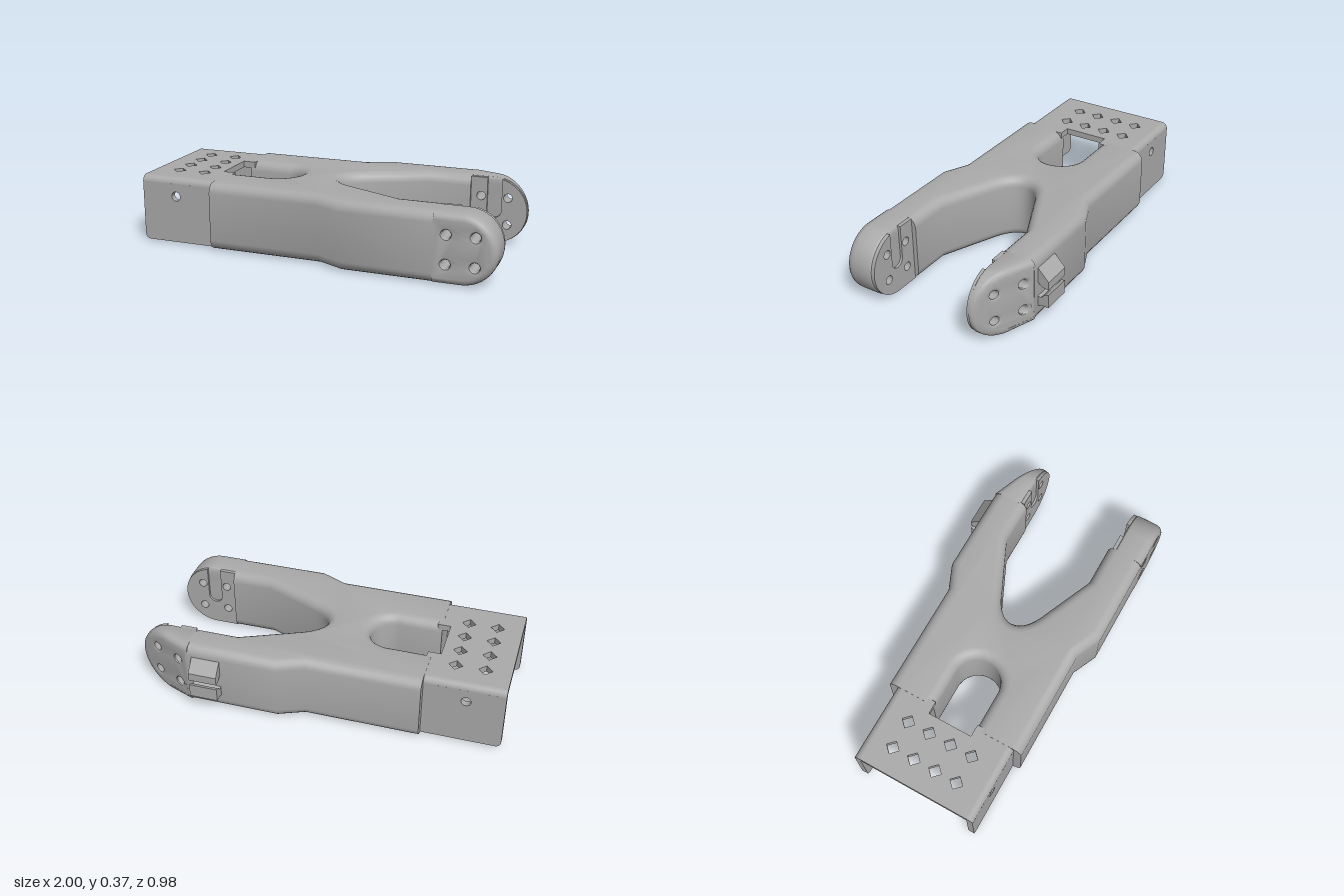
import * as THREE from 'three';
import { toCreasedNormals } from 'three/addons/utils/BufferGeometryUtils.js';

const H = 0.37, R = H / 2, END_X = 0.81;
const HOLES = [-1, 1].flatMap(i => [-1, 1].map(j => [END_X + i * 0.074, R + j * 0.076]));

const circle = (x, y, r) => new THREE.Path().absarc(x, y, r, 0, Math.PI * 2, false);
const polygon = pts => new THREE.Shape(pts.map(p => new THREE.Vector2(...p)));

// Apply a rule to every vertex
function reshape(geo, rule) {
  const p = geo.attributes.position, v = new THREE.Vector3();
  for (let i = 0; i < p.count; i++) {
    v.fromBufferAttribute(p, i);
    rule(v);
    p.setXYZ(i, v.x, v.y, v.z);
  }
  return geo;
}

// H-shaped frame: plan outline with rounded edges, cut flat at both ends
function frameGeometry() {
  const s = new THREE.Shape();
  s.moveTo(-0.66, -0.37);
  [[0.04, -0.37], [0.18, -0.43], [0.76, -0.43], [0.76, -0.235], [0.45, -0.235], [0.14, -0.095]]
    .forEach(p => s.lineTo(...p));
  s.bezierCurveTo(0.0, -0.03, 0.0, 0.08, 0.14, 0.145);
  [[0.45, 0.28], [0.76, 0.28], [0.76, 0.485], [0.18, 0.485], [0.04, 0.42], [-0.66, 0.42], [-0.66, 0.15], [-0.34, 0.15]]
    .forEach(p => s.lineTo(...p));
  s.absarc(-0.34, 0.025, 0.125, Math.PI / 2, -Math.PI / 2, true);
  s.lineTo(-0.66, -0.1);
  const b = 0.055;
  const g = new THREE.ExtrudeGeometry(s, {
    depth: H - 2 * b, bevelThickness: b, bevelSize: b, bevelOffset: -b, bevelSegments: 5, curveSegments: 14
  });
  g.rotateX(Math.PI / 2).translate(0, H - b, 0);
  return reshape(g, v => { v.x = THREE.MathUtils.clamp(v.x, -0.575, 0.68); });
}

// Round arm end with four countersunk holes; outer(x) gives the outside face
function armEndGeometry(inner, outer, back) {
  const s = new THREE.Shape();
  s.moveTo(0.6, 0);
  s.lineTo(END_X, 0);
  s.absarc(END_X, R, R, -Math.PI / 2, Math.PI / 2, false);
  s.lineTo(0.6, H);
  HOLES.forEach(([x, y]) => s.holes.push(circle(x, y, 0.004)));
  const g = new THREE.ExtrudeGeometry(s, {
    depth: 0.4, bevelThickness: 0.3, bevelSize: 0.035, bevelOffset: -0.035, bevelSegments: 5, curveSegments: 16
  });
  return reshape(g, v => {
    for (const [x, y] of HOLES) {
      const d = Math.hypot(v.x - x, v.y - y);
      if (d < 0.0415) {
        const k = Math.max(d, 0.024) / d;
        v.x = x + (v.x - x) * k;
        v.y = y + (v.y - y) * k;
        break;
      }
    }
    v.x = Math.max(v.x, 0.67);
    let t = v.z + 0.3;
    if (back) t = 1 - t;
    if (t < 0.31) t *= 0.3;
    v.z = THREE.MathUtils.lerp(inner, outer(v.x), t);
  });
}

// Thin inner facing with a slot open at the top
function facingGeometry(z) {
  const s = new THREE.Shape(), r = 0.181, a = Math.acos(0.04 / r);
  s.moveTo(0.68, R - r);
  s.lineTo(END_X, R - r);
  s.absarc(END_X, R, r, -Math.PI / 2, a, false);
  s.lineTo(END_X + 0.04, R);
  s.absarc(END_X, R, 0.04, 0, -Math.PI, true);
  s.lineTo(END_X - 0.04, R + r);
  s.lineTo(0.68, R + r);
  HOLES.forEach(([x, y]) => s.holes.push(circle(x, y, 0.024)));
  return new THREE.ExtrudeGeometry(s, { depth: 0.02, bevelEnabled: false, curveSegments: 16 }).translate(0, 0, z);
}

// Bracket side wall with a rounded lower corner and a bolt hole
function wallGeometry(z) {
  const s = new THREE.Shape();
  s.moveTo(-0.97, 0.006);
  s.lineTo(-0.55, 0.006);
  s.lineTo(-0.55, 0.335);
  s.lineTo(-1, 0.335);
  s.lineTo(-1, 0.036);
  s.absarc(-0.97, 0.036, 0.03, Math.PI, Math.PI * 1.5, false);
  s.holes.push(circle(-0.8, 0.265, 0.026));
  return new THREE.ExtrudeGeometry(s, { depth: 0.035, bevelEnabled: false }).translate(0, 0, z);
}

// Bracket top plate with a grid of diamond holes
function plateGeometry() {
  const s = polygon([[-1, -0.285], [-0.55, -0.285], [-0.55, -0.1], [-0.62, -0.1], [-0.62, 0.15],
    [-0.55, 0.15], [-0.55, 0.34], [-1, 0.34]]);
  for (const x of [-0.865, -0.71])
    for (const z of [-0.17, -0.045, 0.08, 0.205]) {
      const d = 0.037;
      s.holes.push(polygon([[x - d, z], [x, z - d], [x + d, z], [x, z + d]]));
    }
  return new THREE.ExtrudeGeometry(s, { depth: 0.035, bevelEnabled: false })
    .rotateX(Math.PI / 2).translate(0, 0.368, 0);
}

// Section drawn as (-z, y), run along x
function alongX(shape, x0, x1) {
  return new THREE.ExtrudeGeometry(shape, { depth: x1 - x0, bevelEnabled: false, curveSegments: 6 })
    .rotateY(Math.PI / 2).translate(x0, 0, 0);
}

// Quarter-round edge joining plate and wall
function edgeGeometry(u, start) {
  const s = new THREE.Shape();
  s.moveTo(u, 0.333);
  s.absarc(u, 0.333, 0.035, start, start + Math.PI / 2, false);
  s.lineTo(u, 0.333);
  return alongX(s, -1, -0.55);
}

export function createModel() {
  const model = new THREE.Group();
  model.name = 'forkedArm';
  const grey = new THREE.MeshStandardMaterial({ color: 0xaaaaaa });
  grey.name = 'grey plastic';
  const add = (name, geo) => {
    const mesh = new THREE.Mesh(toCreasedNormals(geo, 0.6), grey);
    mesh.name = name;
    model.add(mesh);
  };

  add('frame', frameGeometry());

  // Fork ends
  add('frontArmEnd', armEndGeometry(0.318, () => 0.485, false));
  add('frontArmFacing', facingGeometry(0.304));
  add('backArmEnd', armEndGeometry(-0.263, x => -0.43 + 0.145 * Math.max(0, (x - 0.69) / 0.31), true));
  add('backArmFacing', facingGeometry(-0.27));

  // Open-bottomed bracket
  add('bracketPlate', plateGeometry());
  add('bracketFrontWall', wallGeometry(0.34));
  add('bracketBackWall', wallGeometry(-0.32));
  add('bracketFrontEdge', edgeGeometry(-0.34, Math.PI / 2));
  add('bracketBackEdge', edgeGeometry(0.285, 0));

  // Cable clip on the back arm
  add('clipUpperProng', alongX(polygon([[0.42, 0.225], [0.43, 0.225], [0.455, 0.205], [0.49, 0.2],
    [0.49, 0.245], [0.42, 0.32]]), 0.49, 0.645));
  add('clipLowerProng', alongX(polygon([[0.42, 0.085], [0.45, 0.095], [0.49, 0.095], [0.49, 0.17],
    [0.47, 0.165], [0.445, 0.14], [0.42, 0.15]]), 0.49, 0.645));

  return model;
}
